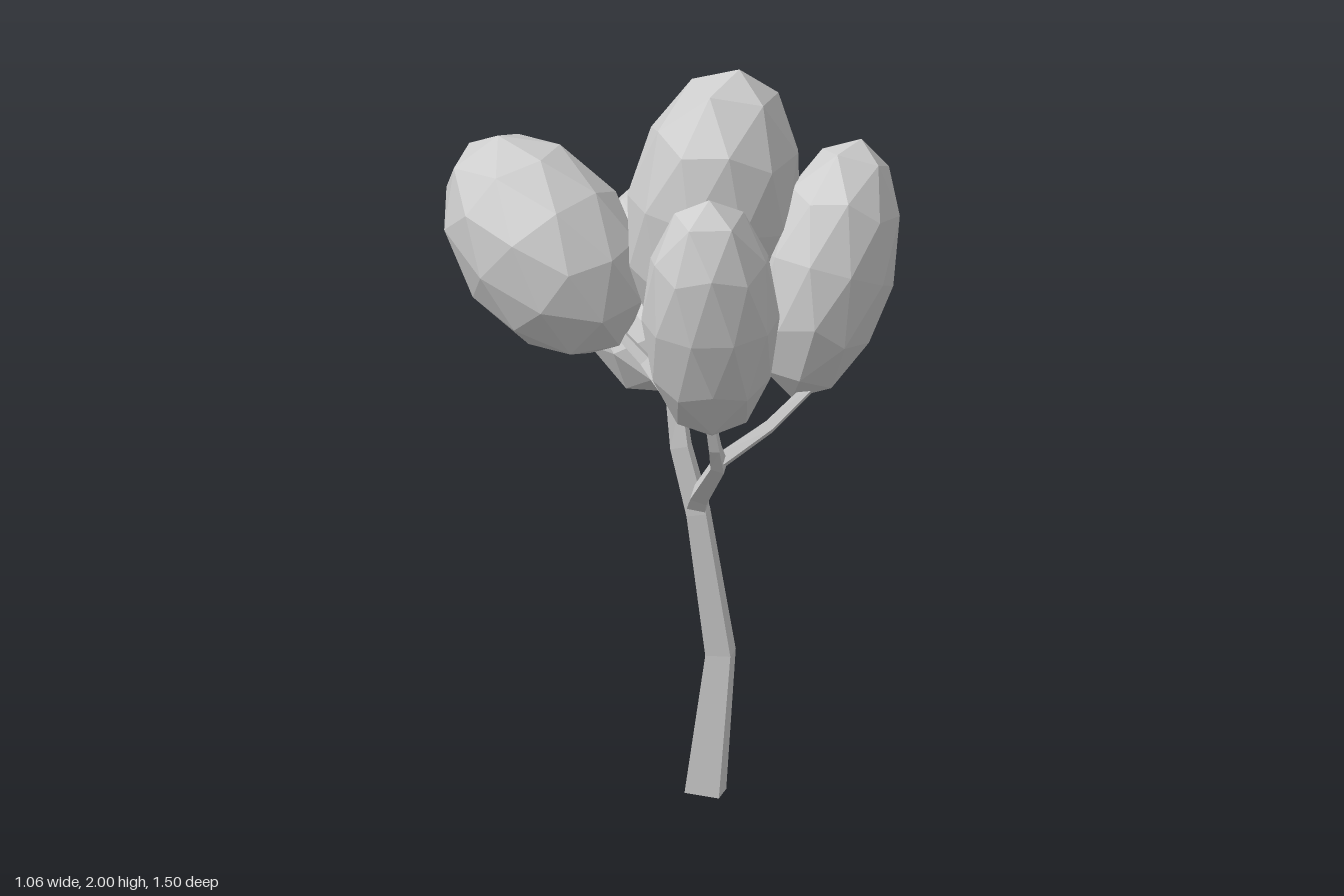
import * as THREE from 'three';

const material = new THREE.MeshStandardMaterial({ color: 0xcccccc, flatShading: true });
const UP = new THREE.Vector3(0, 1, 0);

// Four-sided tapering limb through points [x, y, z, radius]
function limb(name, stops) {
  const points = stops.map(([x, y, z]) => new THREE.Vector3(x, y, z));
  const last = points.length - 1;
  const positions = [], index = [];
  points.forEach((p, i) => {
    const along = points[Math.min(i + 1, last)].clone().sub(points[Math.max(i - 1, 0)]).normalize();
    const turn = new THREE.Quaternion().setFromUnitVectors(UP, along);
    for (let j = 0; j < 4; j++) {
      const angle = 0.23 + j * Math.PI / 2;
      const corner = new THREE.Vector3(Math.sin(angle), 0, Math.cos(angle))
        .multiplyScalar(stops[i][3]).applyQuaternion(turn).add(p);
      positions.push(corner.x, corner.y, corner.z);
      if (i < last) {
        const a = i * 4 + j, b = i * 4 + (j + 1) % 4;
        index.push(a, b, b + 4, a, b + 4, a + 4);
      }
    }
  });
  const end = last * 4;
  index.push(0, 2, 1, 0, 3, 2, end, end + 1, end + 2, end, end + 2, end + 3);
  const indexed = new THREE.BufferGeometry();
  indexed.setAttribute('position', new THREE.Float32BufferAttribute(positions, 3));
  indexed.setIndex(index);
  const geometry = indexed.toNonIndexed();
  geometry.computeVertexNormals();
  const mesh = new THREE.Mesh(geometry, material);
  mesh.name = name;
  return mesh;
}

// Faceted egg of leaves, stretched along an axis
function foliage(name, centre, axis, radius, halfLength) {
  const geometry = new THREE.IcosahedronGeometry(1, 1);
  geometry.rotateZ(-Math.atan2(1, (1 + Math.sqrt(5)) / 2)); // a corner at the tip
  geometry.scale(radius, halfLength, radius);
  geometry.computeVertexNormals();
  const mesh = new THREE.Mesh(geometry, material);
  mesh.name = name;
  mesh.position.set(...centre);
  mesh.quaternion.setFromUnitVectors(UP, new THREE.Vector3(...axis).normalize());
  return mesh;
}

export function createModel() {
  const tree = new THREE.Group();
  tree.name = 'tree';

  // Trunk and branches
  tree.add(
    limb('trunk', [
      [0.045, 0.006, 0.165, 0.066], [0.08, 0.39, 0.186, 0.048], [0.02, 0.78, 0.18, 0.038],
      [-0.02, 0.96, 0.155, 0.034], [-0.03, 1.1, 0.135, 0.03], [0.01, 1.3, 0.15, 0.02],
    ]),
    limb('frontBranch', [
      [0.02, 0.79, 0.17, 0.036], [0.012, 0.84, 0.22, 0.032],
      [-0.02, 0.99, 0.455, 0.026], [-0.045, 1.05, 0.495, 0.02], [-0.07, 1.15, 0.52, 0.016],
    ]),
    limb('frontLeftBranch', [
      [-0.02, 1.0, 0.455, 0.024], [0.13, 1.075, 0.43, 0.02], [0.3, 1.19, 0.38, 0.016],
    ]),
    limb('backLeftBranch', [
      [-0.03, 1.09, 0.135, 0.026], [0.02, 1.045, -0.05, 0.017],
      [0.08, 1.07, -0.14, 0.017], [0.11, 1.12, -0.22, 0.014],
    ]),
    limb('backRightBranch', [
      [-0.03, 1.08, 0.135, 0.026], [-0.08, 1.17, 0.05, 0.02], [-0.16, 1.27, -0.04, 0.015],
    ]),
  );

  // Crown
  tree.add(
    foliage('topFoliage', [0.065, 1.612, 0.175], [0.06, 0.39, 0.035], 0.232, 0.392),
    foliage('frontFoliage', [-0.085, 1.435, 0.57], [-0.025, 0.34, 0.06], 0.183, 0.35),
    foliage('leftFoliage', [0.325, 1.465, 0.335], [0.11, 0.33, -0.04], 0.182, 0.355),
    foliage('rightFoliage', [-0.28, 1.445, -0.19], [-0.41, 0.7, -0.59], 0.235, 0.34),
    foliage('backFoliage', [0.128, 1.22, -0.445], [0.34, 0.45, -0.82], 0.207, 0.365),
  );
  return tree;
}
